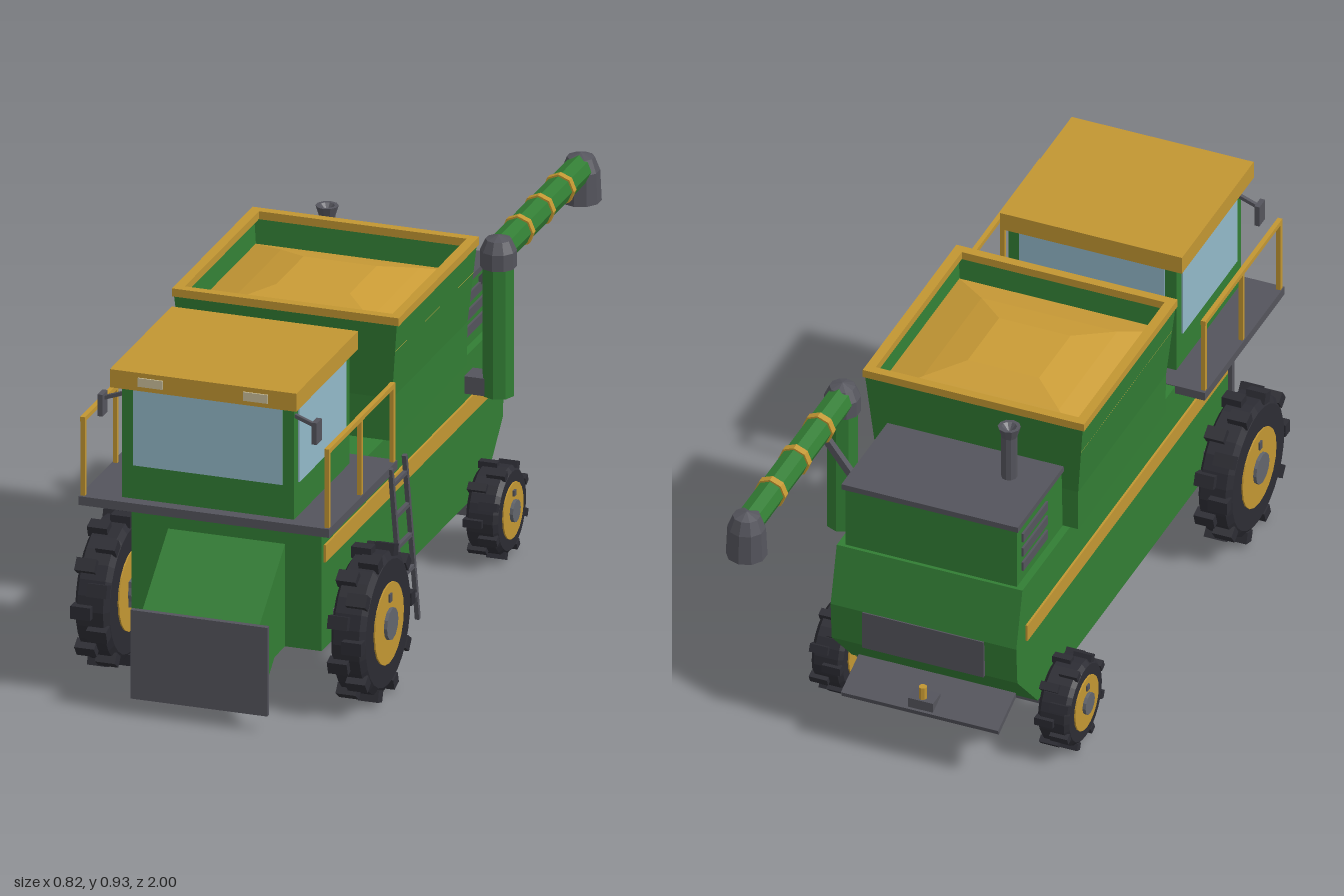
import * as THREE from 'three';

const mat = (name, color, side = THREE.FrontSide) =>
  new THREE.MeshStandardMaterial({ name, color, side, flatShading: true });

export function createModel() {
  const root = new THREE.Group();
  root.name = 'combineHarvester';
  const green = mat('green', 0x327d34), greenShell = mat('greenShell', 0x327d34, THREE.DoubleSide);
  const yellow = mat('yellow', 0xc29632), grain = mat('grain', 0xc99b36);
  const metal = mat('darkMetal', 0x54545c), metalShell = mat('darkMetalShell', 0x54545c, THREE.DoubleSide);
  const steel = mat('steel', 0x62656c), rubber = mat('rubber', 0x2c2c33);
  const glass = mat('glass', 0x92b8c8), lamp = mat('lamp', 0xcabf9a);

  const add = (name, geo, m, parent = root) => {
    const mesh = new THREE.Mesh(geo, m);
    mesh.name = name;
    parent.add(mesh);
    return mesh;
  };
  // box given by its low and high limits on each axis
  const box = (name, m, x0, x1, y0, y1, z0, z1, parent = root) =>
    add(name, new THREE.BoxGeometry(x1 - x0, y1 - y0, z1 - z0)
      .translate((x0 + x1) / 2, (y0 + y1) / 2, (z0 + z1) / 2), m, parent);
  // square bar between two points
  const bar = (name, m, a, b, t, parent = root) => {
    const p = new THREE.Vector3(...a), d = new THREE.Vector3(...b).sub(p);
    const mesh = add(name, new THREE.BoxGeometry(t, d.length(), t), m, parent);
    mesh.position.copy(p).addScaledVector(d, 0.5);
    mesh.quaternion.setFromUnitVectors(new THREE.Vector3(0, 1, 0), d.normalize());
    return mesh;
  };
  // side profile of [z, y] points, extruded across x
  const profile = (name, m, pts, halfWidth) => {
    const shape = new THREE.Shape(pts.map(p => new THREE.Vector2(...p)));
    const geo = new THREE.ExtrudeGeometry(shape, { depth: halfWidth * 2, bevelEnabled: false });
    return add(name, geo.translate(0, 0, -halfWidth).rotateY(-Math.PI / 2), m);
  };
  // stacked rectangles [y, halfX, z0, z1] joined into a shell
  const loft = (name, m, rings, cap) => {
    const pos = [];
    const cs = rings.map(([y, x, z0, z1]) => [[-x, y, z1], [x, y, z1], [x, y, z0], [-x, y, z0]]);
    const quad = (a, b, c, d) => pos.push(...a, ...b, ...c, ...a, ...c, ...d);
    for (let i = 0; i + 1 < cs.length; i++)
      for (let j = 0; j < 4; j++) {
        const k = (j + 1) % 4;
        quad(cs[i][j], cs[i][k], cs[i + 1][k], cs[i + 1][j]);
      }
    if (cap) quad(...cs[cs.length - 1]);
    const geo = new THREE.BufferGeometry();
    geo.setAttribute('position', new THREE.Float32BufferAttribute(pos, 3));
    geo.computeVertexNormals();
    return add(name, geo, m);
  };
  const lathe = (pts, n) => new THREE.LatheGeometry(pts.map(p => new THREE.Vector2(...p)), n);

  // Body and feeder
  profile('body', green, [[0.79, 0.16], [0.79, 0.57], [-0.55, 0.57], [-0.59, 0.41], [-0.583, 0.3], [-0.45, 0.16]], 0.26);
  profile('feederHouse', green, [[0.78, 0.16], [0.87, 0.16], [0.99, 0.06], [0.99, 0.285], [0.79, 0.443], [0.78, 0.443]], 0.16);
  box('feederPlate', metal, -0.187, 0.187, 0.047, 0.292, 0.985, 1);
  box('rearPanel', metal, -0.17, 0.17, 0.3, 0.41, -0.594, -0.584);

  // Cab
  box('platform', metal, -0.343, 0.343, 0.548, 0.572, 0.445, 0.963);
  box('cab', green, -0.235, 0.235, 0.57, 0.89, 0.51, 0.93);
  box('cabRoof', yellow, -0.255, 0.255, 0.887, 0.937, 0.5, 0.968);
  box('windscreen', glass, -0.204, 0.204, 0.665, 0.887, 0.928, 0.934);
  box('rearWindow', glass, -0.204, 0.204, 0.665, 0.887, 0.506, 0.512);

  // Grain tank with rim and heap
  loft('grainTank', greenShell, [[0.571, 0.2, -0.15, 0.25], [0.572, 0.284, -0.243, 0.325],
    [0.69, 0.285, -0.245, 0.327], [0.905, 0.305, -0.262, 0.345]]);
  const rim = new THREE.Shape([[-0.31, -0.305], [0.31, -0.305], [0.31, 0.305], [-0.31, 0.305]].map(p => new THREE.Vector2(...p)));
  rim.holes.push(new THREE.Path([[-0.284, -0.28], [-0.284, 0.28], [0.284, 0.28], [0.284, -0.28]].map(p => new THREE.Vector2(...p))));
  add('tankRim', new THREE.ExtrudeGeometry(rim, { depth: 0.022, bevelEnabled: false })
    .rotateX(-Math.PI / 2).translate(0, 0.9, 0.04), yellow);
  loft('grainHeap', grain, [[0.825, 0.298, -0.255, 0.336], [0.862, 0.19, -0.15, 0.23], [0.885, 0.1, -0.07, 0.135]], true);

  // Engine housing and exhaust
  box('engineHousing', green, -0.24, 0.24, 0.56, 0.75, -0.54, -0.23);
  box('engineDeck', metal, -0.247, 0.247, 0.748, 0.764, -0.55, -0.25);
  add('exhaust', lathe([[0, 0.76], [0.021, 0.76], [0.021, 0.89], [0.03, 0.92], [0.02, 0.92], [0, 0.9]], 10)
    .translate(-0.135, 0, -0.345), metal);

  // Wheel built around the x axis, outer face towards +x
  const wheel = (name, R, w, rimR, hubR, lugs, side, x, y, z) => {
    const g = new THREE.Group();
    g.name = name;
    const r = R * 0.91, h = w / 2;
    const turn = geo => geo.rotateZ(-Math.PI / 2);
    add('tyre', turn(lathe([[rimR * 0.95, -h], [r * 0.9, -h], [r, -h * 0.75], [r, h * 0.75], [r * 0.9, h], [rimR * 0.95, h]], 28)), rubber, g);
    for (let i = 0; i < lugs; i++) {
      const lug = new THREE.BoxGeometry(w * 0.58, R * 0.15, R * 0.17);
      lug.translate((i % 2 ? 1 : -1) * w * 0.22, R * 0.921, 0).rotateX((i / lugs) * Math.PI * 2);
      add('tyreLug', lug, rubber, g);
    }
    add('wheelRim', turn(new THREE.CylinderGeometry(rimR, rimR, w + 0.008, 20)), yellow, g);
    add('hub', turn(new THREE.CylinderGeometry(hubR, hubR, w + 0.026, 12)), steel, g);
    box('rimSlot', metal, h, h + 0.009, rimR * 0.55, rimR * 0.75, -0.008, 0.008, g);
    g.position.set(x * side, y, z);
    if (side < 0) g.rotation.y = Math.PI;
    root.add(g);
  };

  // Parts found on both sides
  for (const s of [1, -1]) {
    const sideBox = (name, m, a, b, ...rest) => box(name, m, Math.min(a * s, b * s), Math.max(a * s, b * s), ...rest);
    wheel('frontWheel', 0.207, 0.094, 0.11, 0.043, 20, s, 0.35, 0.21, 0.667);
    wheel('rearWheel', 0.129, 0.088, 0.076, 0.03, 16, s, 0.317, 0.132, -0.373);
    sideBox('frontAxle', steel, 0.25, 0.31, 0.175, 0.245, 0.63, 0.705);
    sideBox('stripe', yellow, 0.258, 0.266, 0.4, 0.448, -0.53, 0.775);
    sideBox('sideWindow', glass, 0.233, 0.239, 0.665, 0.887, 0.545, 0.9);
    sideBox('headlamp', lamp, 0.11, 0.178, 0.9, 0.924, 0.965, 0.972);
    for (const y of [0.615, 0.66, 0.705]) sideBox('louver', metal, 0.238, 0.246, y - 0.013, y + 0.013, -0.51, -0.35);

    // Handrail
    for (const z of [0.95, 0.705, 0.46]) bar('railPost', yellow, [s * 0.334, 0.57, z], [s * 0.334, 0.785, z], 0.012);
    bar('railTop', yellow, [s * 0.334, 0.783, 0.956], [s * 0.334, 0.783, 0.454], 0.013);

    // Mirror
    bar('mirrorArm', metal, [s * 0.23, 0.858, 0.92], [s * 0.293, 0.835, 0.92], 0.01);
    sideBox('mirror', metal, 0.286, 0.3, 0.79, 0.85, 0.9, 0.938);
  }
  box('rearAxle', metal, -0.29, 0.29, 0.11, 0.152, -0.395, -0.35);
  box('axlePivot', metal, -0.04, 0.04, 0.14, 0.18, -0.4, -0.345);

  // Ladder
  for (const z of [0.505, 0.4]) bar('ladderRail', metal, [0.346, 0.57, z], [0.346, 0.08, z - 0.1], 0.012);
  for (const y of [0.52, 0.425, 0.335, 0.24, 0.155]) {
    const z = 0.505 - (0.57 - y) * 0.204;
    bar('ladderRung', metal, [0.346, y, z], [0.346, y, z - 0.105], 0.011);
  }

  // Rear hitch
  profile('hitchPlate', metal, [[-0.5, 0.205], [-0.5, 0.19], [-0.61, 0.145], [-0.616, 0.16]], 0.22);
  box('hitchBracket', metal, -0.035, 0.035, 0.15, 0.19, -0.61, -0.56);
  add('hitchPin', new THREE.CylinderGeometry(0.011, 0.011, 0.05, 8).translate(0, 0.2, -0.594), yellow);

  // Unloading auger
  const ax = 0.342, az = -0.322, ay = 0.866;
  add('augerRiser', new THREE.CylinderGeometry(0.043, 0.043, 0.37, 8).translate(ax, 0.655, az), green);
  add('augerElbow', lathe([[0, 0.825], [0.048, 0.825], [0.048, 0.87], [0.034, 0.9], [0, 0.911]], 10).translate(ax, 0, az), metal);
  add('augerTube', new THREE.CylinderGeometry(0.038, 0.038, 0.61, 8).rotateX(Math.PI / 2).translate(ax, ay, -0.63), green);
  for (const z of [-0.475, -0.63, -0.785])
    add('augerBand', new THREE.CylinderGeometry(0.043, 0.043, 0.02, 8).rotateX(Math.PI / 2).translate(ax, ay, z), yellow);
  add('augerSpout', lathe([[0.054, 0.776], [0.05, 0.86], [0.036, 0.896], [0, 0.908]], 10).translate(ax, 0, -0.946), metalShell);
  box('augerMount', metal, 0.255, 0.325, 0.472, 0.52, -0.355, -0.29);
  bar('augerStrut', metal, [0.235, 0.71, -0.463], [0.335, 0.84, -0.463], 0.018);

  return root;
}
